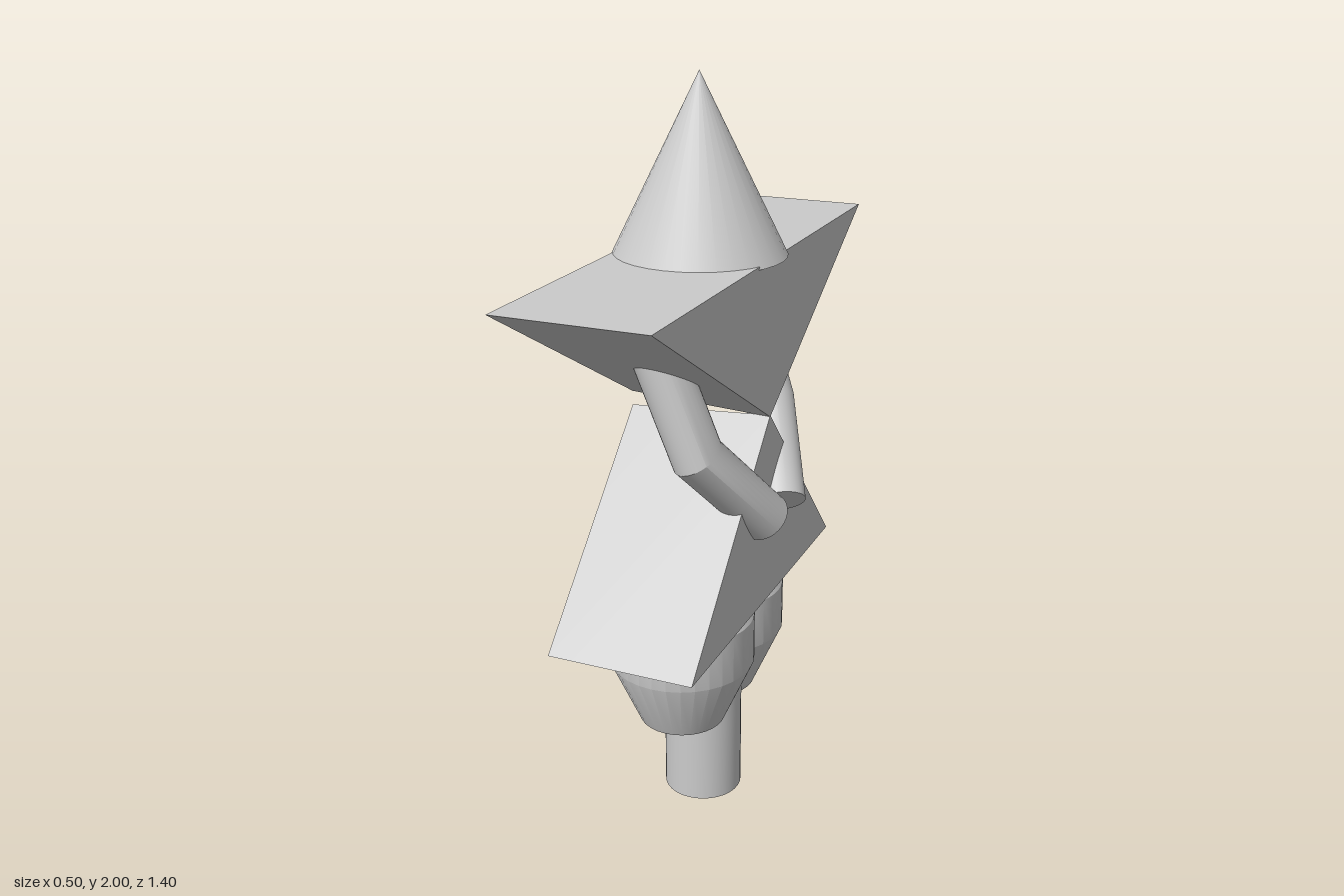
import * as THREE from 'three';
import { toCreasedNormals } from 'three/addons/utils/BufferGeometryUtils.js';

const material = new THREE.MeshStandardMaterial({ color: 0xcccccc });
const BACK = -0.215, FRONT = 0.175;

function part(name, geometry, x = 0, y = 0, z = 0) {
  const mesh = new THREE.Mesh(toCreasedNormals(geometry, 0.45), material);
  mesh.name = name;
  mesh.position.set(x, y, z);
  return mesh;
}

// Triangular prism running from back to front, its ridge sloping between two heights
function prism(zMin, zMax, baseY, ridgeBack, ridgeFront) {
  const shape = new THREE.Shape([
    new THREE.Vector2(-zMax, baseY),
    new THREE.Vector2(-zMin, baseY),
    new THREE.Vector2(0, ridgeBack),
  ]);
  const depth = FRONT - BACK;
  const geometry = new THREE.ExtrudeGeometry(shape, { depth, bevelEnabled: false });
  const p = geometry.attributes.position;
  for (let i = 0; i < p.count; i++) {
    if (Math.abs(p.getY(i) - baseY) > 0.01) {
      p.setY(i, THREE.MathUtils.lerp(ridgeBack, ridgeFront, p.getZ(i) / depth));
    }
  }
  return geometry.rotateY(Math.PI / 2).translate(BACK, 0, 0);
}

// Bent round bar with a mitred elbow
function bentArm(shoulder, elbow, hand, radius) {
  const u = elbow.clone().sub(shoulder).normalize();
  const f = hand.clone().sub(elbow).normalize();
  const a = u.clone().cross(f).normalize();
  const b1 = u.clone().cross(a), b2 = f.clone().cross(a);
  const mid = b1.clone().add(b2).normalize();
  mid.divideScalar(mid.dot(b1));
  const geometry = new THREE.CylinderGeometry(radius, radius, 1, 32, 2);
  const p = geometry.attributes.position;
  const v = new THREE.Vector3();
  for (let i = 0; i < p.count; i++) {
    const y = p.getY(i);
    const [centre, b] = y > 0.1 ? [shoulder, b1] : y < -0.1 ? [hand, b2] : [elbow, mid];
    v.copy(centre).addScaledVector(a, p.getX(i)).addScaledVector(b, p.getZ(i));
    p.setXYZ(i, v.x, v.y, v.z);
  }
  return geometry;
}

export function createModel() {
  const group = new THREE.Group();

  // Head and the two facing wedges of the body
  group.add(part('pointedHead', new THREE.ConeGeometry(0.222, 0.447, 32), -0.022, 1.7765, -0.004));
  group.add(part('shoulderWedge', prism(-0.7, 0.702, 1.56, 1.165, 1.147)));
  group.add(part('skirtWedge', prism(-0.495, 0.508, 0.63, 1.127, 1.152)));

  // Overlapping hips, closed at both ends
  const hipProfile = [[0, 0.285], [0.117, 0.285], [0.196, 0.465], [0.196, 0.6], [0.117, 0.76], [0, 0.76]]
    .map(([r, y]) => new THREE.Vector2(r, y));
  for (const side of [1, -1]) {
    group.add(part(side > 0 ? 'frontSideHip' : 'backSideHip',
      new THREE.LatheGeometry(hipProfile, 32), -0.028, 0, side * 0.109));
  }

  // Single standing post
  group.add(part('post', new THREE.CylinderGeometry(0.108, 0.108, 0.65, 32), -0.018, 0.325, -0.012));

  // Arms folded in towards the chest
  const V = (x, y, z) => new THREE.Vector3(x, y, z);
  group.add(part('frontSideArm', bentArm(V(-0.03, 1.42, 0.278), V(0.085, 1.12, 0.262), V(0.19, 0.895, 0.062), 0.066)));
  group.add(part('backSideArm', bentArm(V(-0.03, 1.42, -0.275), V(0.085, 1.11, -0.237), V(0.19, 0.895, -0.052), 0.066)));

  return group;
}
